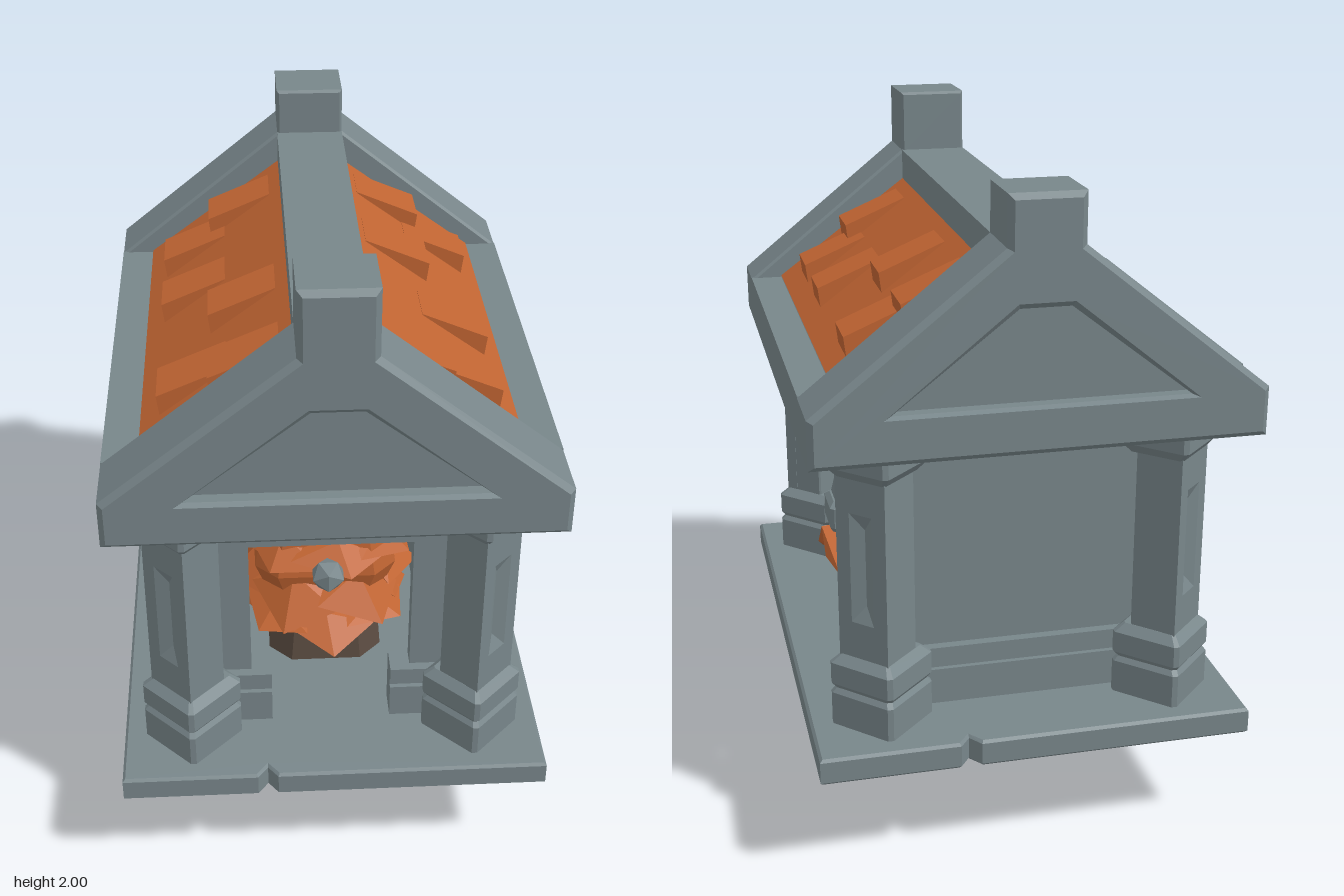
import * as THREE from 'three';
import { ConvexGeometry } from 'three/addons/geometries/ConvexGeometry.js';
import { RoundedBoxGeometry } from 'three/addons/geometries/RoundedBoxGeometry.js';

const stone = new THREE.MeshStandardMaterial({ color: 0x78868a });
stone.name = 'stone';
const orange = new THREE.MeshStandardMaterial({ color: 0xc06432 });
orange.name = 'orange';
const brown = new THREE.MeshStandardMaterial({ color: 0x5c4d42 });
brown.name = 'brown';

const V = (p) => new THREE.Vector3(...p);

function add(parent, name, geometry, material) {
  const mesh = new THREE.Mesh(geometry, material);
  mesh.name = name;
  parent.add(mesh);
  return mesh;
}

// Box given by its min and max on each axis
function box(parent, name, x0, x1, y0, y1, z0, z1, material = stone) {
  const g = new THREE.BoxGeometry(x1 - x0, y1 - y0, z1 - z0);
  g.translate((x0 + x1) / 2, (y0 + y1) / 2, (z0 + z1) / 2);
  return add(parent, name, g, material);
}

// Flat-shaded geometry from convex polygons
function faces(polys) {
  const out = [];
  for (const p of polys)
    for (let i = 1; i < p.length - 1; i++) out.push(...p[0], ...p[i], ...p[i + 1]);
  const g = new THREE.BufferGeometry();
  g.setAttribute('position', new THREE.Float32BufferAttribute(out, 3));
  g.computeVertexNormals();
  return g;
}

// Stack of chamfered rectangles: each level is [y, halfX, halfZ, chamfer]
function stack(levels) {
  const rings = levels.map(([y, a, b, c]) => [
    [a, c - b], [a, b - c], [a - c, b], [c - a, b],
    [-a, b - c], [-a, c - b], [c - a, -b], [a - c, -b],
  ].map(([x, z]) => [x, y, z]));
  const polys = [rings[0], [...rings[rings.length - 1]].reverse()];
  for (let k = 0; k < rings.length - 1; k++)
    for (let i = 0; i < 8; i++) {
      const j = (i + 1) % 8;
      polys.push([rings[k][i], rings[k + 1][i], rings[k + 1][j], rings[k][j]]);
    }
  return faces(polys);
}

const hull = (points) => new ConvexGeometry(points.map(V));
const shape = (pts) => new THREE.Shape(pts.map(([x, y]) => new THREE.Vector2(x, y)));
const mirrored = (half) => [...half, ...half.map(([x, y]) => [-x, y]).reverse()];

// Extruded outline with bevels kept inside it, spanning z0 to z1
function bevelled(s, z0, z1, b) {
  const g = new THREE.ExtrudeGeometry(s, {
    depth: z1 - z0 - 2 * b, bevelThickness: b, bevelSize: b, bevelOffset: -b, bevelSegments: 1,
  });
  return g.translate(0, 0, z0 + b);
}

// Corner column, built facing +z, with a V-shaped recess on its face
function column() {
  const g = new THREE.Group();
  g.name = 'column';
  add(g, 'columnBase', stack([[0.4, 0.108, 0.108, 0.012], [0.5, 0.108, 0.108, 0.012],
    [0.515, 0.098, 0.098, 0.012], [0.53, 0.108, 0.108, 0.012], [0.595, 0.108, 0.108, 0.012],
    [0.62, 0.083, 0.083, 0.008]]), stone);
  add(g, 'columnShaft', stack([[0.61, 0.082, 0.06, 0.005], [1.17, 0.082, 0.06, 0.005]]), stone);
  add(g, 'columnCapital', stack([[1.16, 0.083, 0.083, 0.008], [1.19, 0.107, 0.107, 0.012],
    [1.25, 0.107, 0.107, 0.012]]), stone);
  const s = shape([[-0.083, 0.61], [0.083, 0.61], [0.083, 1.17], [-0.083, 1.17]]);
  s.holes.push(new THREE.Path([[-0.038, 0.73], [-0.038, 1.06], [0.038, 1.06], [0.038, 0.73]]
    .map(([x, y]) => new THREE.Vector2(x, y))));
  const plate = new THREE.ExtrudeGeometry(s, { depth: 0.04, bevelEnabled: false });
  add(g, 'columnFace', plate.translate(0, 0, 0.043), stone);
  const [a, b, c, d] = [[-0.038, 0.73, 0.083], [0.038, 0.73, 0.083], [0.038, 1.06, 0.083], [-0.038, 1.06, 0.083]];
  const lo = [0, 0.78, 0.062], hi = [0, 1.01, 0.062];
  add(g, 'columnRecess', faces([[a, b, lo], [b, c, hi, lo], [c, d, hi], [d, a, lo, hi]]), stone);
  return g;
}

// Gable block with a recessed pediment and a square post on top
function gable(top) {
  const g = new THREE.Group();
  g.name = 'gable';
  const outline = mirrored([[0.63, 1.25], [0.63, 1.39], [0.105, 1.81], [0.105, top]]);
  const front = shape(outline);
  front.holes.push(new THREE.Path(mirrored([[0.41, 1.385], [0.07, 1.65]])
    .map(([x, y]) => new THREE.Vector2(x, y))));
  add(g, 'gableBody', bevelled(shape(outline), 0.632, 0.79, 0.008), stone);
  add(g, 'gableFront', bevelled(front, 0.76, 0.84, 0.016), stone);
  return g;
}

const roofY = (x) => 1.395 + (0.53 - x) * 0.741;

// Everything on the +x side that repeats, turned half round, on the other
function sideDetails() {
  const g = new THREE.Group();
  g.name = 'sideDetails';
  const e = 0.005;
  add(g, 'roofSlope', faces([[[0.53, roofY(0.53) + e, 0.635], [0.53, roofY(0.53) + e, -0.635],
    [0.105, roofY(0.105) + e, -0.635], [0.105, roofY(0.105) + e, 0.635]]]), orange);
  // raised roof tiles: [upper x, z]
  for (const [x, z] of [[0.14, -0.495], [0.285, -0.405], [0.14, -0.145], [0.285, 0.125], [0.285, 0.425], [0.14, 0.495]]) {
    const x1 = x + 0.195, pts = [];
    for (const w of [-0.077, 0.077])
      pts.push([x, roofY(x) - 0.01, z + w], [x, roofY(x) + 0.008, z + w],
        [x1, roofY(x1) + 0.07, z + w], [x1 - 0.01, roofY(x1) - 0.01, z + w]);
    add(g, 'roofTile', hull(pts), orange);
  }
  // wall torch
  box(g, 'torchPost', 0.36, 0.43, 0.575, 0.75, -0.04, 0.04);
  const cup = stack([[0.735, 0.05, 0.06, 0.01], [0.755, 0.06, 0.078, 0.012],
    [0.82, 0.06, 0.078, 0.012], [0.835, 0.045, 0.055, 0.01]]);
  add(g, 'torchCup', cup.translate(0.42, 0, 0), stone);
  add(g, 'torchSpike', hull([[0.38, 0.83, 0.055], [0.46, 0.83, 0.055], [0.38, 0.83, -0.05], [0.46, 0.83, -0.05],
    [0.4, 0.92, 0.045], [0.44, 0.92, 0.04], [0.41, 1.0, -0.045], [0.43, 0.98, -0.045]]), stone);
  add(g, 'torchSplinter', hull([[0.41, 1.0, 0.045], [0.4, 0.94, 0.04], [0.44, 0.94, 0.02], [0.42, 0.95, -0.005]]), stone);
  for (const x of [0.385, 0.47]) {
    const n = x > 0.4 ? 'Outer' : 'Inner';
    add(g, 'flameLeft' + n, hull([[x - 0.03, 0.665, 0.165], [x + 0.01, 0.6, 0.155], [x - 0.03, 0.74, 0],
      [x + 0.03, 0.735, 0], [x, 0.665, -0.02], [x + 0.03, 0.64, 0.1]]), orange);
    add(g, 'flameRight' + n, hull([[x, 0.645, -0.19], [x - 0.03, 0.74, 0], [x + 0.03, 0.735, 0],
      [x, 0.67, 0], [x + 0.03, 0.665, -0.08]]), orange);
  }
  add(g, 'flameTop', hull([[0.4, 0.87, 0.155], [0.44, 0.89, 0.15], [0.4, 0.96, 0.06], [0.45, 0.95, 0.06],
    [0.42, 0.9, 0.02], [0.43, 0.87, 0.12]]), orange);
  // small chips on the wall
  for (const [y, z] of [[1.02, 0.3], [0.95, 0.24], [0.88, 0.33], [1.08, -0.25], [0.85, -0.22], [0.92, -0.3]])
    add(g, 'wallChip', hull([[0.368, y, z - 0.02], [0.368, y + 0.025, z], [0.368, y - 0.01, z + 0.02], [0.376, y, z]]), stone);
  return g;
}

// Layered fire on a stump inside the doorway
function hearth() {
  const g = new THREE.Group();
  g.name = 'hearth';
  add(g, 'stump', stack([[0.4, 0.18, 0.18, 0.07], [0.53, 0.17, 0.17, 0.07]]), brown);
  add(g, 'fireCore', stack([[0.52, 0.14, 0.14, 0.05], [0.75, 0.22, 0.2, 0.07], [1.12, 0.15, 0.15, 0.05]]), orange);
  [[0.53, 0.29, 0.1, 7, 0], [0.62, 0.31, 0.17, 6, 0.5], [0.78, 0.29, 0.14, 7, 0.2], [0.92, 0.29, 0.16, 6, 0]]
    .forEach(([y, r, h, n, turn]) => {
      for (let k = 0; k < n; k++) {
        const dy = 0.03 * Math.sin(k * 2.4 + y * 9);
        const leaf = add(g, 'flame', hull([[0, y + h, 0.08], [0.03, y + h - 0.04, 0.07], [-0.15, y + 0.05, 0.2],
          [0.15, y + 0.03, 0.2], [0.02, y + dy, r], [0, y + h * 0.75, 0.2], [0, y + 0.02, 0.18]]), orange);
        leaf.rotation.y = ((k + turn) / n) * Math.PI * 2;
      }
    });
  const ember = add(g, 'hearthStone', new THREE.IcosahedronGeometry(0.055, 0), stone);
  ember.position.set(0, 0.82, 0.28);
  g.position.z = 0.15;
  return g;
}

export function createModel() {
  const model = new THREE.Group();
  model.name = 'shrine';

  // rock foot and stepped base
  add(model, 'rockFoot', stack([[0, 0.2, 0.22, 0.09], [0.065, 0.215, 0.31, 0.11], [0.22, 0.24, 0.34, 0.11]]), brown);
  add(model, 'lowerSlab', stack([[0.217, 0.42, 0.42, 0.01], [0.33, 0.42, 0.42, 0.01]]), stone);
  box(model, 'lowerSlabUnderside', -0.415, 0.415, 0.212, 0.218, -0.415, 0.415, brown);
  const half = [[-0.63, -0.84], [-0.23, -0.84], [-0.2, -0.8], [-0.17, -0.84], [0.63, -0.84]];
  const slab = bevelled(shape([...half, ...half.map(([x, y]) => [-x, -y])]), 0.32, 0.4, 0.008);
  add(model, 'baseSlab', slab.rotateX(-Math.PI / 2), stone);

  // walls with the doorway, and the plinth courses round them
  for (const s of [-1, 1]) {
    const span = (a, b) => (s > 0 ? [a, b] : [-b, -a]);
    box(model, 'sideWall', ...span(0.32, 0.37), 0.4, 1.25, -0.57, 0.57);
    box(model, 'doorJamb', ...span(0.24, 0.37), 0.4, 1.25, 0.52, 0.571);
    for (const [y0, y1, d] of [[0.4, 0.51, 0.03], [0.505, 0.535, 0.015], [0.53, 0.58, 0.03]]) {
      box(model, 'sidePlinth', ...span(0.36, 0.37 + d), y0, y1, -0.6, 0.6);
      box(model, 'frontPlinth', ...span(0.18, 0.38), y0, y1, 0.51, 0.57 + d);
      if (s > 0) box(model, 'backPlinth', -0.38, 0.38, y0, y1, -0.57 - d, -0.56);
    }
    for (const t of [-1, 1]) {
      const c = column();
      c.position.set(0.42 * s, 0, 0.637 * t);
      c.rotation.y = Math.atan2(s, t);
      model.add(c);
    }
  }
  box(model, 'doorLintel', -0.25, 0.25, 1.04, 1.25, 0.52, 0.57);
  box(model, 'backWall', -0.37, 0.37, 0.4, 1.25, -0.571, -0.52);
  const plaque = add(model, 'doorPlaque', new RoundedBoxGeometry(0.37, 0.1, 0.08, 2, 0.03), stone);
  plaque.position.set(0, 1.14, 0.58);
  model.add(hearth());

  // roof with eaves and ridge, gables at both ends
  const roof = mirrored([[0.63, 1.25], [0.63, 1.395], [0.53, 1.395], [0.105, 1.71], [0.105, 1.81]]);
  const roofGeo = new THREE.ExtrudeGeometry(shape(roof), { depth: 1.28, bevelEnabled: false });
  add(model, 'roofFrame', roofGeo.translate(0, 0, -0.64), stone);
  model.add(gable(2));
  const rear = gable(1.95);
  rear.rotation.y = Math.PI;
  model.add(rear);

  const left = sideDetails();
  const right = left.clone();
  right.rotation.y = Math.PI;
  model.add(left, right);
  return model;
}
